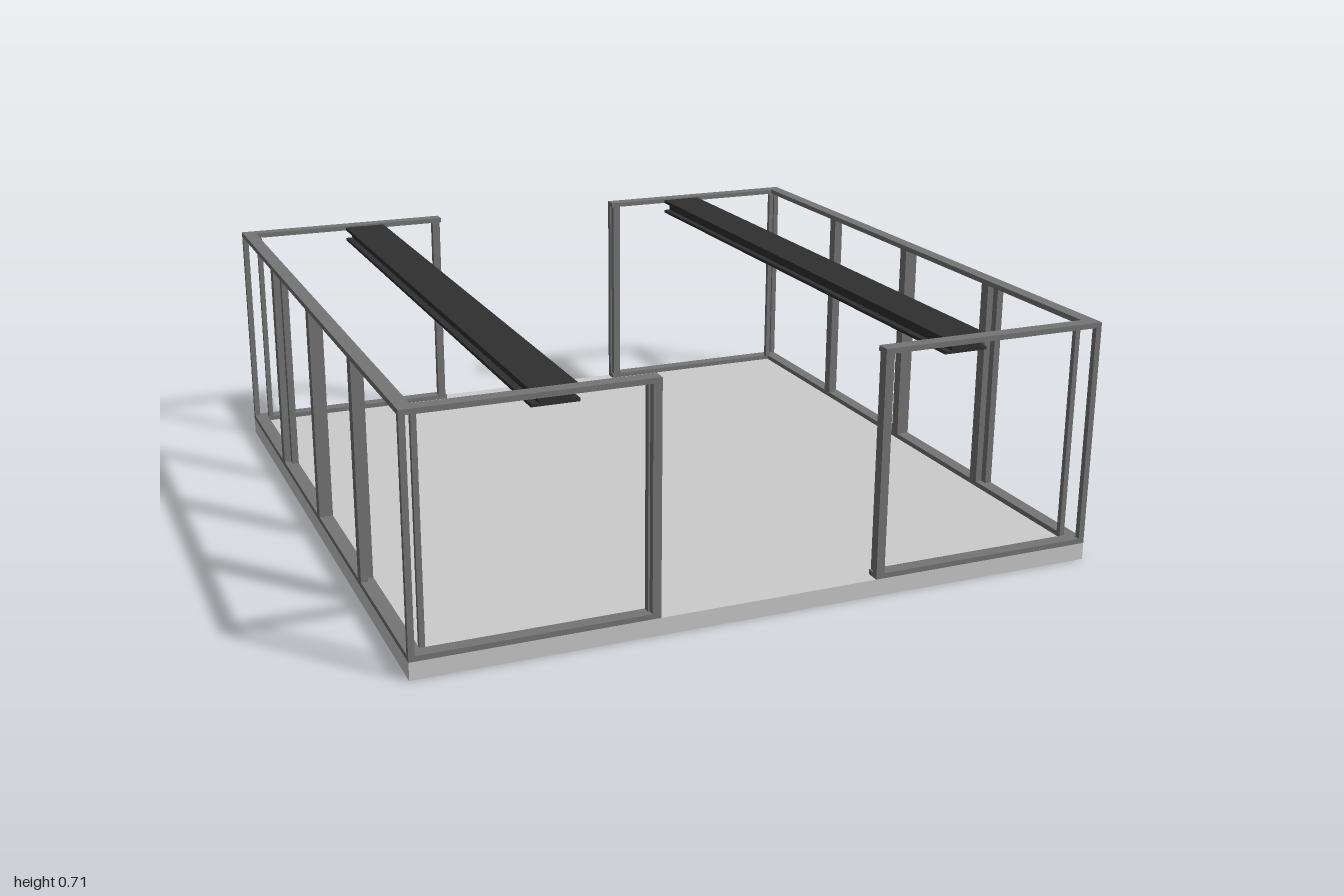
import * as THREE from 'three';

const slabMat = new THREE.MeshStandardMaterial({ color: 0xcccccc });
const frameMat = new THREE.MeshStandardMaterial({ color: 0x757575 });
const beamMat = new THREE.MeshStandardMaterial({ color: 0x303030 });

// Box given by its min and max along each axis
function block(parent, name, mat, [x0, x1], [y0, y1], [z0, z1]) {
  const mesh = new THREE.Mesh(new THREE.BoxGeometry(x1 - x0, y1 - y0, z1 - z0), mat);
  mesh.position.set((x0 + x1) / 2, (y0 + y1) / 2, (z0 + z1) / 2);
  mesh.name = name;
  parent.add(mesh);
}

// Range mirrored through zero when s is -1
const side = (s, a, b) => (s > 0 ? [a, b] : [-b, -a]);

export function createModel() {
  const model = new THREE.Group();
  const floorY = 0.05, topY = 0.71, rail = 0.015;
  const postY = [floorY + rail, topY - rail];
  const railLevels = { bottomRail: [floorY, postY[0]], topRail: [postY[1], topY] };

  block(model, 'floorSlab', slabMat, [-1, 1], [0, floorY], [-1, 1]);

  for (const sx of [1, -1]) {
    const frame = new THREE.Group();
    frame.name = sx > 0 ? 'leftFrame' : 'rightFrame';
    model.add(frame);

    // Side rails and the returns on the front and back
    for (const [name, y] of Object.entries(railLevels)) {
      block(frame, name + 'Side', frameMat, side(sx, 0.96, 1), y, [-0.96, 0.96]);
      for (const sz of [1, -1])
        block(frame, name + 'Return', frameMat, side(sx, 0.32, 1), y, side(sz, 0.96, 1));
    }

    // Centre post of the side
    block(frame, 'centrePost', frameMat, side(sx, 0.96, 1), postY, [-0.0175, 0.0175]);

    for (const sz of [1, -1]) {
      // Slender corner posts: one outside, one set diagonally inward
      block(frame, 'outerCornerPost', frameMat, side(sx, 0.983, 1), postY, side(sz, 0.983, 1));
      block(frame, 'innerCornerPost', frameMat, side(sx, 0.945, 0.96), postY, side(sz, 0.945, 0.96));
      // Staggered intermediate posts
      block(frame, 'outerSidePost', frameMat, side(sx, 0.98, 1), postY, side(sz, 0.485, 0.52));
      block(frame, 'innerSidePost', frameMat, side(sx, 0.96, 0.98), postY, side(sz, 0.462, 0.497));
      // Posts beside the central opening
      block(frame, 'outerEndPost', frameMat, side(sx, 0.32, 0.345), postY, side(sz, 0.98, 1));
      block(frame, 'innerEndPost', frameMat, side(sx, 0.325, 0.35), postY, side(sz, 0.96, 0.98));
    }

    // Flanged overhead beam running front to back
    const beam = new THREE.Group();
    beam.name = 'overheadBeam';
    frame.add(beam);
    const run = [-0.96, 0.96];
    block(beam, 'bottomFlange', beamMat, side(sx, 0.525, 0.655), [0.66, 0.669], run);
    block(beam, 'web', beamMat, side(sx, 0.545, 0.635), [0.669, 0.695], run);
    block(beam, 'topFlange', beamMat, side(sx, 0.525, 0.655), [0.695, 0.705], run);
  }
  return model;
}
